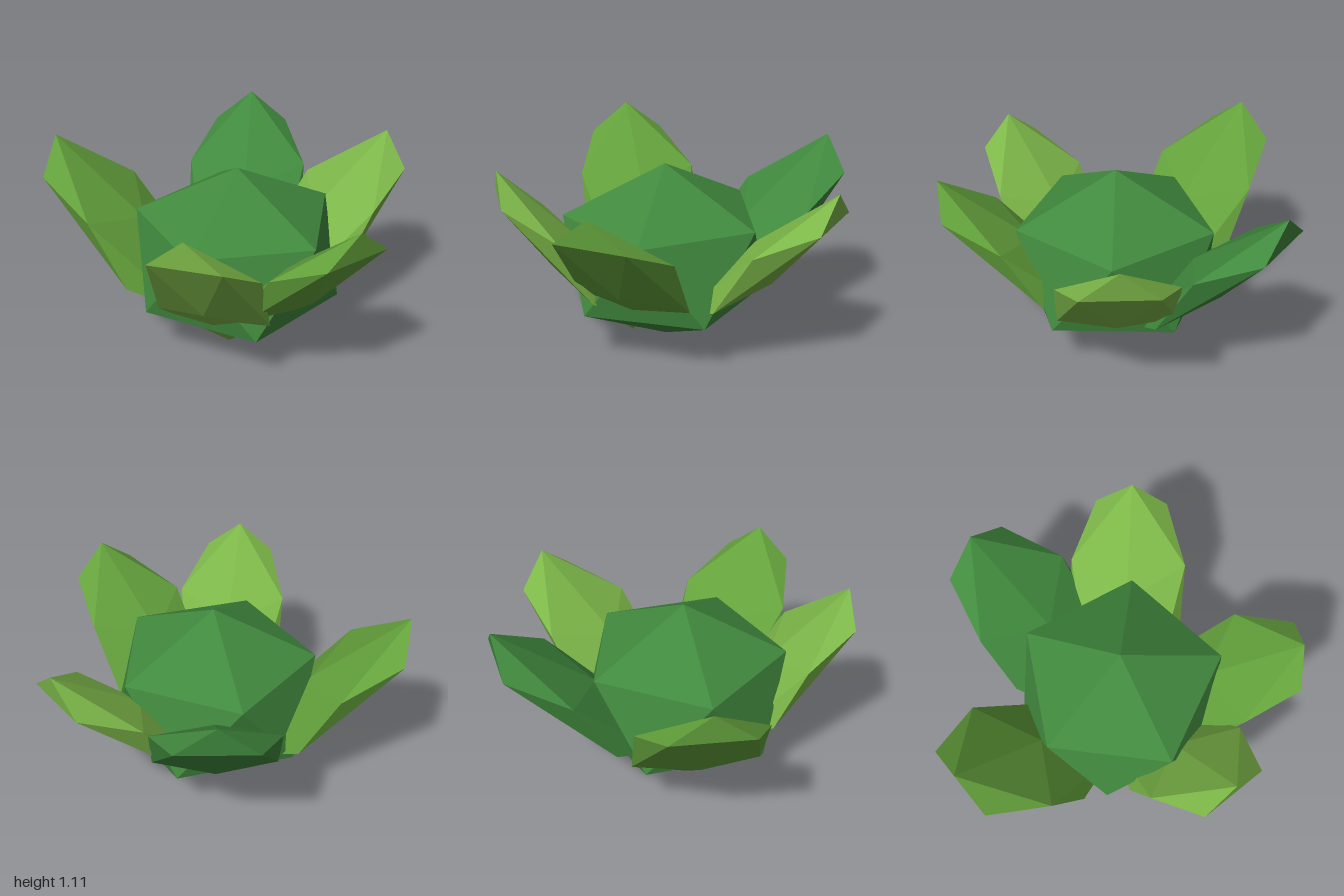
import * as THREE from 'three';

// Faceted gem shape: points on the vertical axis, an upper corner facing +z
function createGem(name, color, width, height, depth) {
  const geo = new THREE.IcosahedronGeometry(1, 0);
  geo.rotateX(-Math.atan((1 + Math.sqrt(5)) / 2));
  geo.scale(width, height, depth);
  geo.computeVertexNormals();
  const gem = new THREE.Mesh(geo, new THREE.MeshStandardMaterial({ color, flatShading: true }));
  gem.name = name;
  return gem;
}

const DARK = 0x418a3e, MID = 0x64a23c, LIGHT = 0x7cb648;

// Each leaf: centre, outward direction (x, z), upward tilt in degrees,
// half sizes (width, thickness, length) and colour
const LEAVES = [
  { name: 'leftLeaf', at: [0.58, 0.574, 0.129], out: [0.988, 0.152], tilt: 44.7, size: [0.375, 0.116, 0.703], color: MID },
  { name: 'frontLeaf', at: [0.294, 0.56, 0.548], out: [0.468, 0.883], tilt: 50.3, size: [0.365, 0.11, 0.697], color: LIGHT },
  { name: 'rightLeaf', at: [-0.534, 0.575, 0.362], out: [-0.88, 0.47], tilt: 47.4, size: [0.409, 0.12, 0.757], color: MID },
  { name: 'backRightLeaf', at: [-0.353, 0.56, -0.405], out: [-0.633, -0.774], tilt: 44, size: [0.405, 0.13, 0.76], color: DARK },
  { name: 'backLeaf', at: [0.182, 0.553, -0.5], out: [0.248, -0.969], tilt: 43, size: [0.382, 0.123, 0.725], color: LIGHT },
];

export function createModel() {
  const plant = new THREE.Group();
  plant.name = 'leafyPlant';

  // Core
  const core = createGem('core', DARK, 0.637, 0.52, 0.637);
  core.position.set(0.03, 0.52, 0.06);
  core.rotation.y = Math.PI / 2;
  plant.add(core);

  // Leaves leaning outward around the core
  for (const { name, at, out, tilt, size, color } of LEAVES) {
    const leaf = createGem(name, color, ...size);
    leaf.position.set(...at);
    leaf.rotation.set(-THREE.MathUtils.degToRad(tilt), Math.atan2(out[0], out[1]), 0, 'YXZ');
    plant.add(leaf);
  }
  return plant;
}
